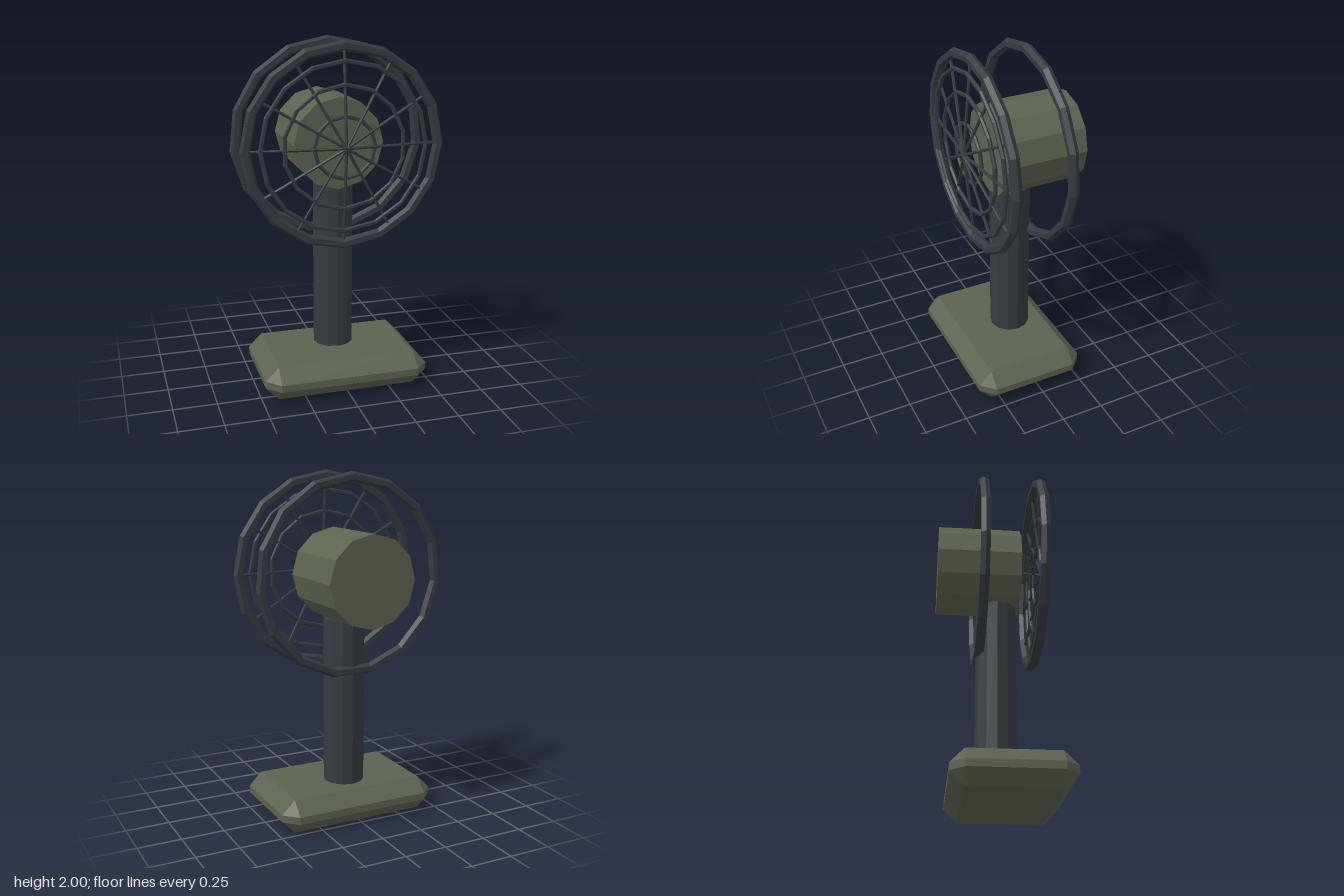
import * as THREE from 'three';
import { ConvexGeometry } from 'three/addons/geometries/ConvexGeometry.js';

function material(name, color) {
  const m = new THREE.MeshStandardMaterial({ color, flatShading: true });
  m.name = name;
  return m;
}

// Box with every edge cut at 45 degrees
function chamferedBox(w, h, d, c) {
  const points = [];
  const [x, y, z] = [w / 2, h / 2, d / 2];
  for (const sx of [-1, 1]) for (const sy of [-1, 1]) for (const sz of [-1, 1]) {
    points.push(
      new THREE.Vector3(sx * x, sy * (y - c), sz * (z - c)),
      new THREE.Vector3(sx * (x - c), sy * y, sz * (z - c)),
      new THREE.Vector3(sx * (x - c), sy * (y - c), sz * z)
    );
  }
  return new ConvexGeometry(points);
}

export function createModel() {
  const olive = material('olive', 0x5c634f);
  const charcoal = material('charcoal', 0x353c3f);
  const model = new THREE.Group();
  model.name = 'deskFan';
  const headY = 1.42;

  function add(name, geometry, mat, x, y, z, parent = model) {
    const mesh = new THREE.Mesh(geometry, mat);
    mesh.name = name;
    mesh.position.set(x, y, z);
    parent.add(mesh);
    return mesh;
  }

  // Stand
  add('base', chamferedBox(0.96, 0.196, 0.655, 0.077), olive, 0, 0.098, 0.042);
  add('column', new THREE.CylinderGeometry(0.118, 0.118, 0.98, 12), charcoal, 0, 0.682, -0.02);

  // Motor housing, lying along z
  const motor = new THREE.CylinderGeometry(0.26, 0.26, 0.48, 12).rotateX(Math.PI / 2);
  add('motorHousing', motor, olive, 0, headY, -0.13);

  // Hoops of the guard, each with a corner at the top
  function hoop(name, radius, tube, sides, z, parent) {
    const geometry = new THREE.TorusGeometry(radius, tube, 6, sides).rotateZ(Math.PI / 2);
    add(name, geometry, charcoal, 0, 0, z, parent);
  }
  const guard = new THREE.Group();
  guard.name = 'guard';
  guard.position.y = headY;
  model.add(guard);
  hoop('frontRim', 0.55, 0.03, 16, 0.207, guard);
  hoop('backRim', 0.55, 0.03, 15, -0.121, guard);
  hoop('outerRing', 0.47, 0.013, 16, 0.228, guard);
  hoop('middleRing', 0.343, 0.012, 14, 0.228, guard);
  hoop('innerRing', 0.174, 0.011, 12, 0.23, guard);

  // Spokes leaning forward to the centre
  const inner = new THREE.Vector3(0, 0, 0.258);
  for (let i = 0; i < 12; i++) {
    const a = (i * Math.PI) / 6;
    const outer = new THREE.Vector3(0.545 * Math.cos(a), 0.545 * Math.sin(a), 0.207);
    const direction = outer.clone().sub(inner);
    const spoke = add('spoke', new THREE.CylinderGeometry(0.009, 0.009, direction.length(), 6),
      charcoal, 0, 0, 0, guard);
    spoke.position.addVectors(inner, outer).multiplyScalar(0.5);
    spoke.quaternion.setFromUnitVectors(new THREE.Vector3(0, 1, 0), direction.normalize());
  }

  return model;
}
